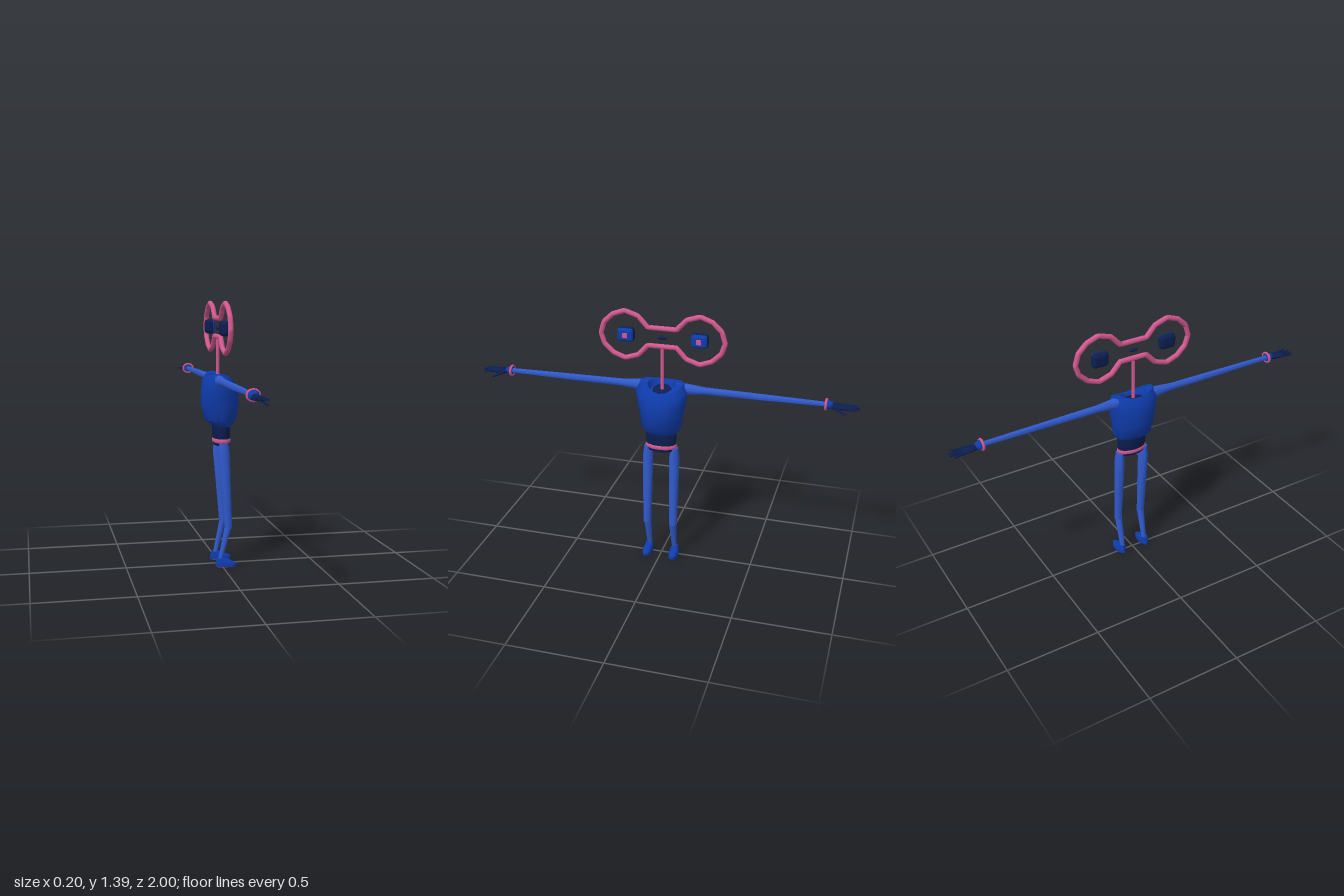
import * as THREE from 'three';
import { toCreasedNormals } from 'three/addons/utils/BufferGeometryUtils.js';
import { RoundedBoxGeometry } from 'three/addons/geometries/RoundedBoxGeometry.js';

const mat = (name, color) => Object.assign(new THREE.MeshStandardMaterial({ color }), { name });
const V = (x, y, z) => new THREE.Vector3(x, y, z);

// Closed loft through elliptical rings listed bottom to top:
// [y, centre x, radius x, radius z, tilt along x, lift at the sides]
function loft(rings, n = 12) {
  const pos = [], idx = [];
  for (const [y, cx, rx, rz, tilt = 0, lift = 0] of rings) {
    for (let j = 0; j < n; j++) {
      const a = (j / n) * Math.PI * 2, c = Math.cos(a), s = Math.sin(a);
      pos.push(cx + rx * c, y + tilt * rx * c + lift * s * s, rz * s);
    }
  }
  for (let i = 0; i < rings.length - 1; i++) {
    for (let j = 0; j < n; j++) {
      const a = i * n + j, b = i * n + (j + 1) % n;
      idx.push(a, a + n, b, b, a + n, b + n);
    }
  }
  const top = (rings.length - 1) * n;
  for (let j = 1; j < n - 1; j++) {
    idx.push(0, j, j + 1, top, top + j + 1, top + j);
  }
  const g = new THREE.BufferGeometry();
  g.setAttribute('position', new THREE.Float32BufferAttribute(pos, 3));
  g.setIndex(idx);
  return toCreasedNormals(g, 0.7);
}

export function createModel() {
  const blue = mat('deep blue', 0x0f3cac);
  const limbBlue = mat('light blue', 0x3059cc);
  const navy = mat('navy', 0x0c1f52);
  const pink = mat('pink', 0xd2588f);

  const root = new THREE.Group();
  const add = (parent, name, geo, material, x = 0, y = 0, z = 0) => {
    const m = new THREE.Mesh(geo, material);
    m.name = name;
    m.position.set(x, y, z);
    parent.add(m);
    return m;
  };
  // Tapered rod between two points
  const rod = (parent, name, a, b, ra, rb, material, sides = 8) => {
    const d = b.clone().sub(a);
    const m = add(parent, name, new THREE.CylinderGeometry(rb, ra, d.length(), sides), material);
    m.position.copy(a).addScaledVector(d, 0.5);
    m.quaternion.setFromUnitVectors(V(0, 1, 0), d.normalize());
    return m;
  };

  // Torso with raised shoulders and a forward-sloping neckline
  add(root, 'torso', loft([
    [0.738, 0.012, 0.043, 0.08],
    [0.772, 0.003, 0.082, 0.105],
    [0.85, 0, 0.1, 0.115],
    [0.91, 0, 0.1, 0.127, -0.05],
    [0.962, -0.003, 0.088, 0.138, -0.18, 0.01],
    [0.99, 0, 0.07, 0.115, -0.27, 0.028],
    [0.988, -0.005, 0.058, 0.075, -0.27, 0.02],
    [0.972, -0.005, 0.05, 0.06, -0.27, 0],
  ], 14), blue);
  add(root, 'neckOpening', loft([
    [0.968, -0.005, 0.045, 0.05, -0.27],
    [0.976, -0.005, 0.045, 0.05, -0.27],
  ], 10), navy);
  add(root, 'waist', loft([
    [0.64, 0.01, 0.039, 0.072],
    [0.655, 0.009, 0.044, 0.079],
    [0.765, 0.006, 0.047, 0.084],
  ], 14), navy);
  add(root, 'belt', loft([
    [0.655, 0.009, 0.045, 0.081],
    [0.66, 0.009, 0.048, 0.084],
    [0.672, 0.009, 0.048, 0.084],
    [0.677, 0.009, 0.045, 0.081],
  ], 14), pink);

  // Head: goggle-shaped loop on a thin stem
  const half = [[0.075, 1.3], [0.125, 1.355], [0.195, 1.378], [0.258, 1.355], [0.305, 1.31], [0.323, 1.25]];
  const lower = half.slice(0, 5).reverse().map(([z, y]) => [z, 2.505 - y]);
  const side = [...half, ...lower];
  const loop = [...side, ...side.map(([z, y]) => [-z, y]).reverse()];
  const curve = new THREE.CatmullRomCurve3(loop.map(([z, y]) => V(-0.01, y, z)), true, 'catmullrom', 0);
  add(root, 'headLoop', new THREE.TubeGeometry(curve, 132, 0.0135, 8, true), pink);
  rod(root, 'neckStem', V(-0.01, 0.97, 0), V(-0.01, 1.2, 0), 0.01, 0.01, pink);
  const mouth = add(root, 'mouth', new THREE.SphereGeometry(1, 10, 6), navy, -0.01, 1.249, 0);
  mouth.scale.set(0.01, 0.008, 0.026);

  for (const s of [1, -1]) {
    const g = new THREE.Group();
    g.name = s > 0 ? 'leftSide' : 'rightSide';
    g.scale.z = s;
    root.add(g);

    // Eye
    add(g, 'eyeShell', new RoundedBoxGeometry(0.042, 0.076, 0.09, 3, 0.02), navy, -0.017, 1.252, 0.192);
    add(g, 'eyeFront', new RoundedBoxGeometry(0.034, 0.07, 0.084, 3, 0.0165), blue, -0.008, 1.252, 0.192);
    add(g, 'pupil', new THREE.BoxGeometry(0.006, 0.026, 0.026), pink, 0.009, 1.252, 0.192);

    // Leg, bent back at the knee
    add(g, 'thigh', loft([
      [0.205, 0.033, 0.02, 0.021],
      [0.4, 0.021, 0.025, 0.025],
      [0.6, 0.009, 0.031, 0.027],
      [0.655, 0.008, 0.024, 0.02],
    ], 10), limbBlue, 0, 0, 0.072);
    add(g, 'shin', loft([
      [0.035, -0.011, 0.012, 0.013],
      [0.212, 0.031, 0.019, 0.02],
    ], 10), limbBlue, 0, 0, 0.07);
    add(g, 'shoe', loft([
      [0.002, 0.02, 0.057, 0.026],
      [0.017, 0.02, 0.058, 0.026],
      [0.029, 0.009, 0.044, 0.024],
      [0.046, -0.01, 0.021, 0.017],
    ], 12), blue, 0, 0, 0.074);
    add(g, 'sole', loft([[0, 0.02, 0.054, 0.023], [0.003, 0.02, 0.056, 0.025]], 12), pink, 0, 0, 0.074);

    // Arm, built along +y then turned outward; local +z becomes down
    const arm = new THREE.Group();
    arm.name = 'arm';
    arm.position.set(-0.022, 0.983, 0);
    arm.rotation.x = Math.PI / 2;
    g.add(arm);
    add(arm, 'armSleeve', loft([
      [0.08, 0, 0.03, 0.032],
      [0.14, 0, 0.023, 0.028],
      [0.22, 0, 0.017, 0.02],
      [0.5, 0, 0.016, 0.017],
      [0.85, 0, 0.013, 0.012],
    ], 10), limbBlue);
    add(arm, 'cuff', loft([
      [0.832, 0, 0.03, 0.026],
      [0.845, 0, 0.027, 0.024],
      [0.868, 0, 0.017, 0.014],
    ], 10), blue);
    const rim = add(arm, 'cuffRim', new THREE.TorusGeometry(0.029, 0.007, 6, 12), pink, 0, 0.836, 0);
    rim.rotation.x = Math.PI / 2;
    rim.scale.y = 0.88;

    // Hand with four fingers and a lowered thumb
    add(arm, 'palm', loft([
      [0.855, 0, 0.014, 0.012],
      [0.885, 0, 0.024, 0.014],
      [0.92, 0, 0.029, 0.013],
      [0.938, 0, 0.026, 0.009],
    ], 8), navy, 0, 0, 0.005);
    [0.985, 1, 0.997, 0.98].forEach((tip, i) => {
      const k = i - 1.5;
      rod(arm, 'finger', V(k * 0.014, 0.92, 0.005), V(k * 0.021, tip, 0.006), 0.008, 0.004, navy, 6);
    });
    rod(arm, 'thumb', V(0.014, 0.88, 0.008), V(0.038, 0.94, 0.034), 0.01, 0.004, navy, 6);
  }
  return root;
}
